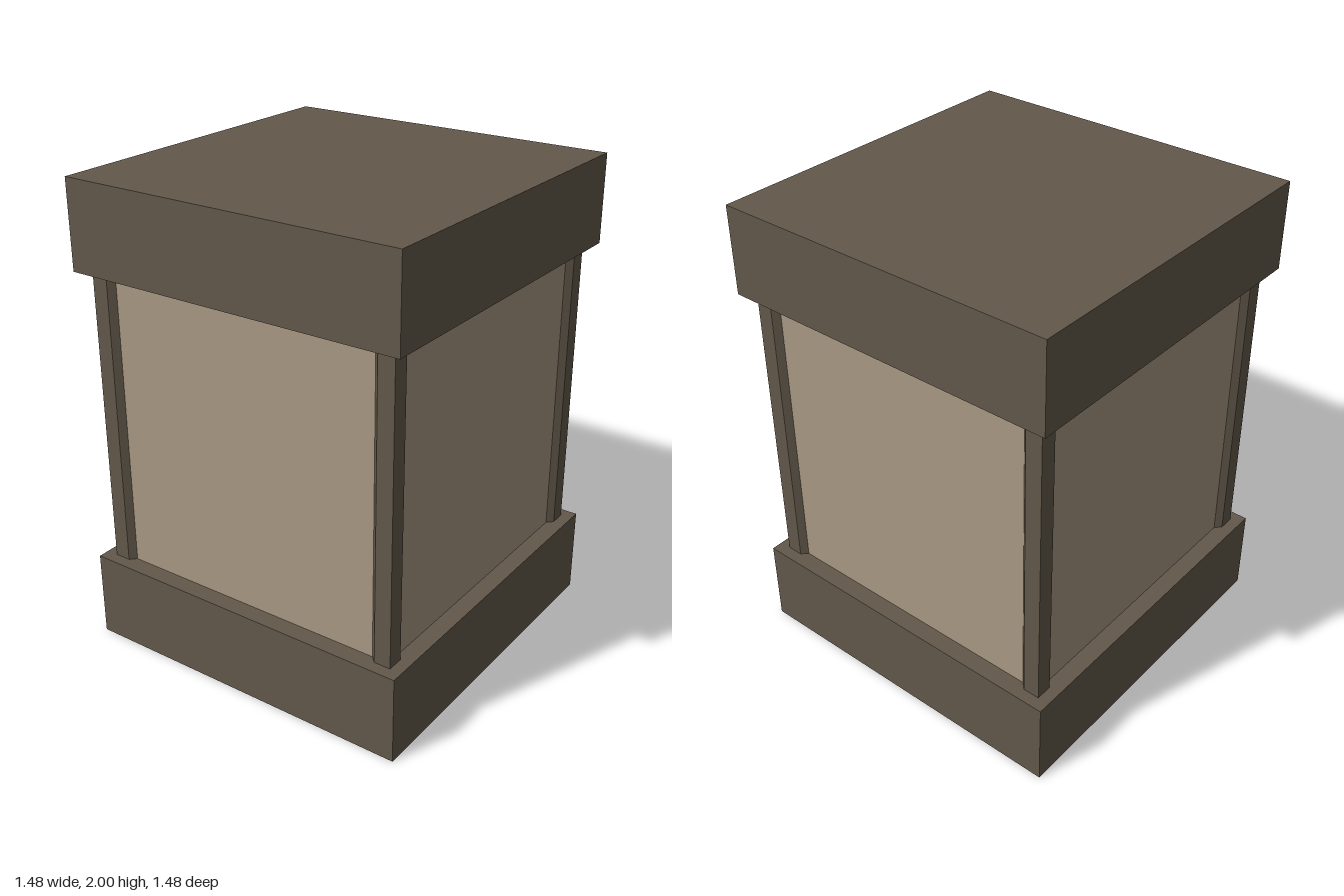
import * as THREE from 'three';

const OUT = 0.74;      // half width of lid and base
const POST = 0.69;     // outer face of the corner posts
const POST_IN = 0.62;  // inner edge of a post's flat face
const PANEL = 0.665;   // recessed panel plane
const PANEL_W = 0.595; // half width of a panel
const LOW = 0.37, HIGH = 1.63, TOP = 2;

export function createModel() {
  const model = new THREE.Group();
  model.name = 'boxLantern';
  const trim = new THREE.MeshStandardMaterial({ name: 'darkTrim', color: 0x62584a, side: THREE.DoubleSide });
  const pale = new THREE.MeshStandardMaterial({ name: 'palePanel', color: 0xa89883, side: THREE.DoubleSide });

  const add = (parent, name, geometry, material, x = 0, y = 0, z = 0) => {
    const mesh = new THREE.Mesh(geometry, material);
    mesh.name = name;
    mesh.position.set(x, y, z);
    parent.add(mesh);
    return mesh;
  };

  // Closed lid
  add(model, 'lid', new THREE.BoxGeometry(2 * OUT, TOP - HIGH, 2 * OUT), trim, 0, (TOP + HIGH) / 2, 0);

  // Base ledge: a square ring, open in the middle
  const square = (path, h) => path.moveTo(-h, -h).lineTo(h, -h).lineTo(h, h).lineTo(-h, h).closePath();
  const ring = square(new THREE.Shape(), OUT);
  ring.holes.push(square(new THREE.Path(), POST_IN));
  add(model, 'baseLedge', new THREE.ShapeGeometry(ring), trim, 0, LOW, 0).rotation.x = -Math.PI / 2;

  // Bevelled corner post: a folded strip extruded upwards, (x, z) outline
  const outline = [[PANEL_W, PANEL], [POST_IN, POST], [POST, POST], [POST, POST_IN], [PANEL, PANEL_W]];
  const height = HIGH - LOW, middle = (HIGH + LOW) / 2;

  // Four identical sides, each with a base wall, a panel and a corner post
  for (let i = 0; i < 4; i++) {
    const side = new THREE.Group();
    side.name = 'side' + (i + 1);
    side.rotation.y = i * Math.PI / 2;
    model.add(side);

    add(side, 'baseWall', new THREE.PlaneGeometry(2 * OUT, LOW), trim, 0, LOW / 2, OUT);
    add(side, 'panel', new THREE.PlaneGeometry(2 * PANEL_W, height), pale, 0, middle, PANEL);

    const post = new THREE.Group();
    post.name = 'cornerPost';
    side.add(post);
    for (let k = 0; k < outline.length - 1; k++) {
      const [x0, z0] = outline[k], [x1, z1] = outline[k + 1];
      const strip = new THREE.PlaneGeometry(Math.hypot(x1 - x0, z1 - z0), height);
      add(post, 'postFace', strip, trim, (x0 + x1) / 2, middle, (z0 + z1) / 2)
        .rotation.y = -Math.atan2(z1 - z0, x1 - x0);
    }
  }
  return model;
}
